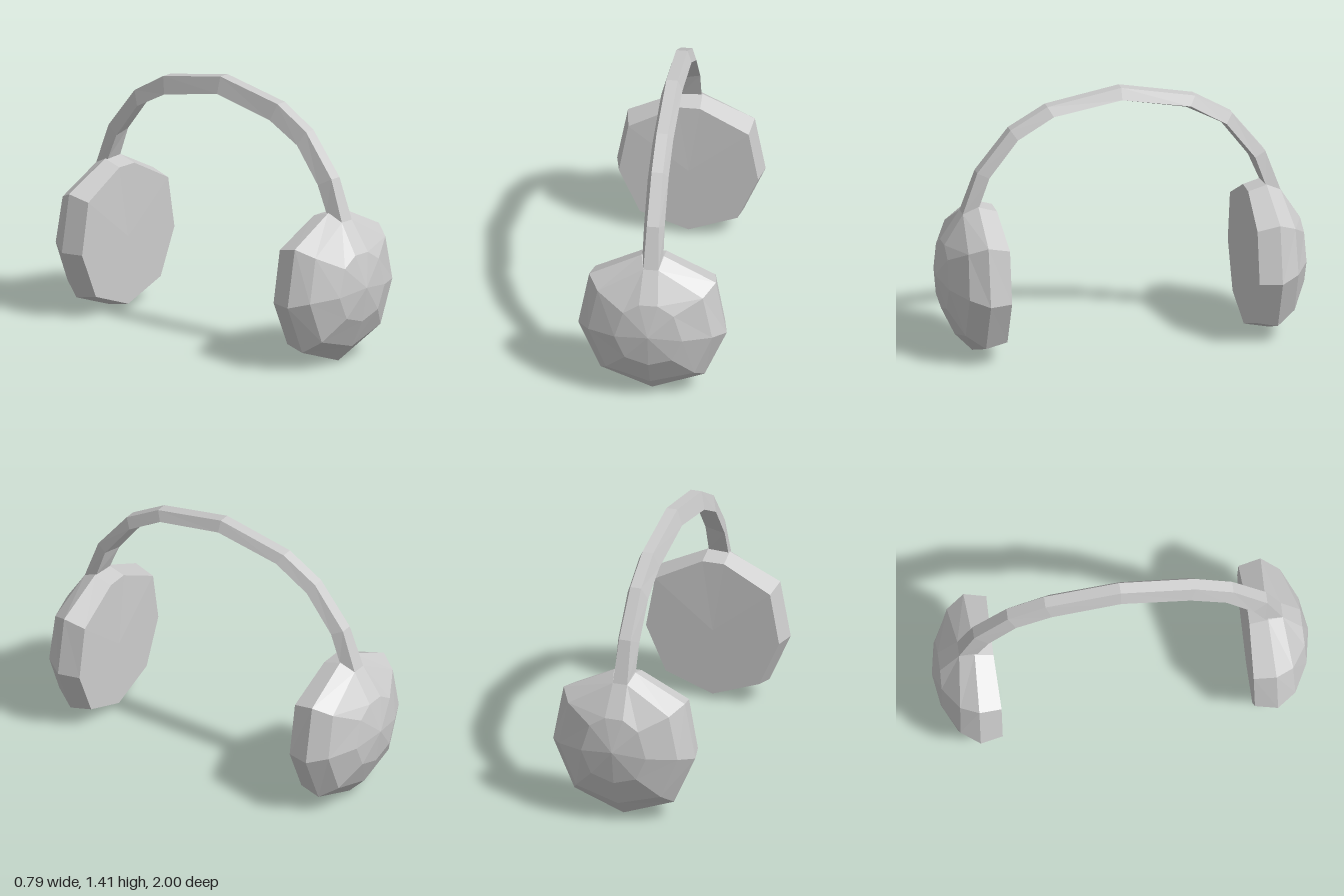
import * as THREE from 'three';

const grey = new THREE.MeshStandardMaterial({ color: 0xcccccc, flatShading: true });

// Skins a list of equal-length rings; both ends close to a centre point.
function loft(name, rings, startCentre, endCentre, flip = false) {
  const n = rings[0].length, last = (rings.length - 1) * n;
  const points = [...rings.flat(), startCentre, endCentre];
  const start = rings.length * n, end = start + 1;
  const index = [];
  const tri = (a, b, c) => (flip ? index.push(a, c, b) : index.push(a, b, c));
  for (let j = 0; j < n; j++) {
    const k = (j + 1) % n;
    for (let r = 0; r < last; r += n) {
      tri(r + j, r + k, r + n + k);
      tri(r + j, r + n + k, r + n + j);
    }
    tri(start, k, j);
    tri(end, last + j, last + k);
  }
  const geometry = new THREE.BufferGeometry();
  geometry.setAttribute('position', new THREE.Float32BufferAttribute(points.flat(), 3));
  geometry.setIndex(index);
  const flat = geometry.toNonIndexed();
  flat.computeVertexNormals();
  const mesh = new THREE.Mesh(flat, grey);
  mesh.name = name;
  return mesh;
}

// Ear cup: each ring gives the right-hand half outline as [x, y, z], from bottom to top.
const cupHalves = [
  [[0, 0.03, 0.67], [0.26, 0.125, 0.67], [0.37, 0.375, 0.67], [0.32, 0.655, 0.67], [0.06, 0.79, 0.68]],
  [[0, 0.003, 0.8], [0.277, 0.103, 0.79], [0.395, 0.373, 0.79], [0.337, 0.683, 0.79], [0.06, 0.82, 0.78]],
  [[0, 0.1, 0.895], [0.235, 0.17, 0.89], [0.33, 0.4, 0.89], [0.28, 0.64, 0.885], [0.04, 0.78, 0.86]],
  [[0, 0.25, 0.968], [0.125, 0.29, 0.968], [0.18, 0.415, 0.968], [0.135, 0.565, 0.965], [0.05, 0.62, 0.963]],
];

function earCup(name, side) {
  const rings = cupHalves.map((half) => {
    const mirrored = half.slice(1).reverse().map(([x, y, z]) => [-x, y, z]);
    return [...half, ...mirrored].map(([x, y, z]) => [x, y, z * side]);
  });
  return loft(name, rings, [0, 0.4, 0.67 * side], [0, 0.44, side], side < 0);
}

// Headband stations: outer z, y, half width; then inner z, y on the +x edge and on the -x edge.
const bandStations = [
  [0, 1.415, 0.03, 0, 1.355, 0, 1.325],
  [0.4, 1.34, 0.03, 0.37, 1.29, 0.37, 1.25],
  [0.6, 1.225, 0.03, 0.565, 1.175, 0.56, 1.15],
  [0.78, 1.0, 0.032, 0.72, 0.975, 0.705, 0.96],
  [0.86, 0.78, 0.04, 0.775, 0.82, 0.765, 0.82],
];

function headband() {
  const section = (side) => ([oz, oy, w, rz, ry, lz, ly]) => [
    [-0.056, ly, lz * side], [0.056, ry, rz * side], [w, oy, oz * side], [-w, oy, oz * side],
  ];
  const rings = [
    ...bandStations.slice(1).reverse().map(section(-1)),
    ...bandStations.map(section(1)),
  ];
  return loft('headband', rings, [0, 0.8, -0.82], [0, 0.8, 0.82]);
}

export function createModel() {
  const model = new THREE.Group();
  model.name = 'headphones';
  model.add(earCup('frontEarCup', 1), earCup('backEarCup', -1), headband());
  return model;
}
